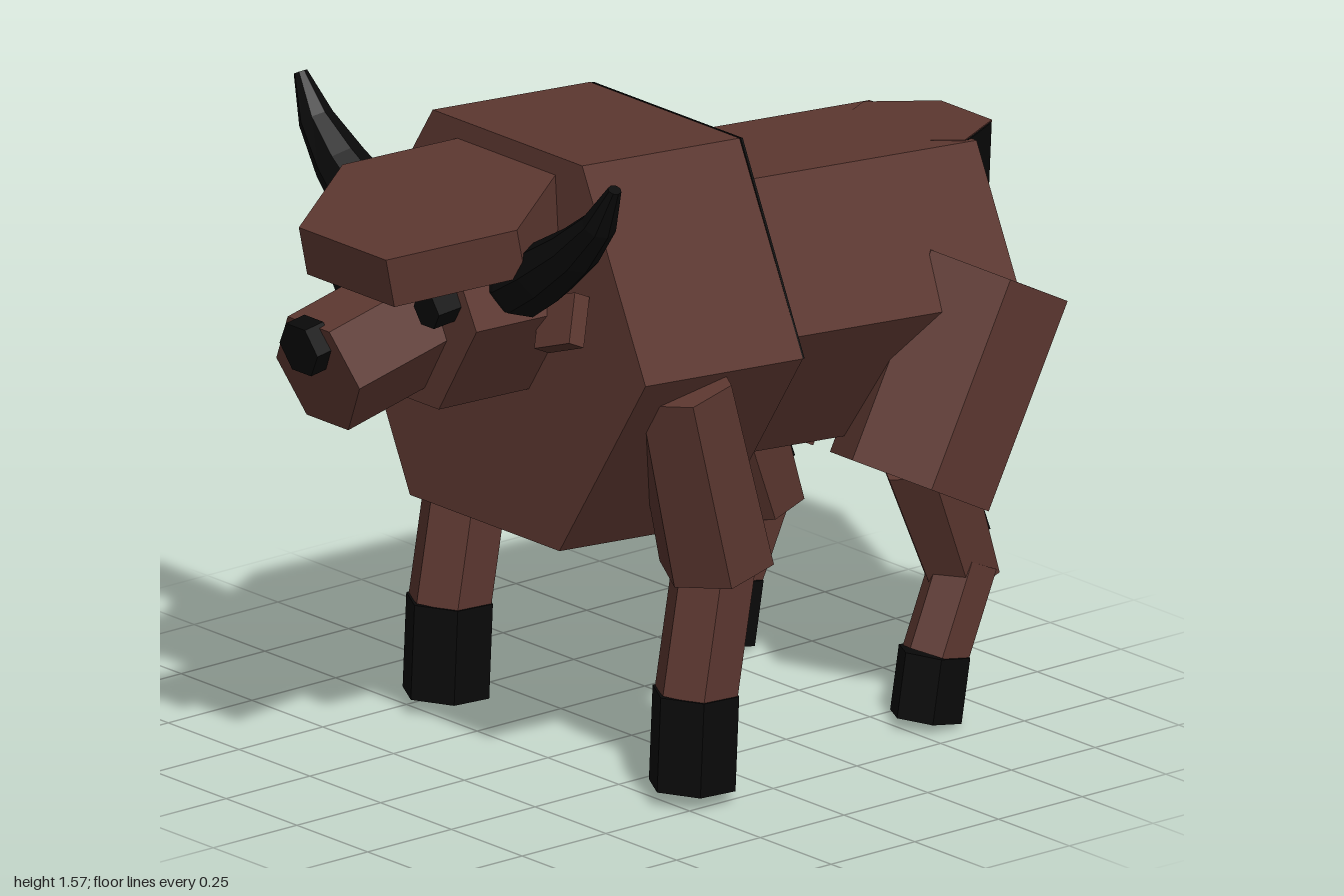
import * as THREE from 'three';

const hide = new THREE.MeshStandardMaterial({ color: 0x5c3730, flatShading: true });
hide.name = 'brown hide';
const black = new THREE.MeshStandardMaterial({ color: 0x090909, flatShading: true, side: THREE.DoubleSide });
black.name = 'black horn';

const UP = new THREE.Vector3(0, 1, 0);
const v = (p) => new THREE.Vector3(...p);

// Places a geometry whose axis is y so that it runs from point a to point b
function along(name, geometry, a, b, material) {
  const from = v(a), to = v(b);
  const mesh = new THREE.Mesh(geometry, material);
  mesh.name = name;
  mesh.position.copy(from).add(to).multiplyScalar(0.5);
  mesh.quaternion.setFromUnitVectors(UP, to.clone().sub(from).normalize());
  return mesh;
}

// Six-sided prism from a to b; wide = corners point to the sides
function prism(name, a, b, r, wide = false, material = hide, rTop = r, sx = 1) {
  const g = new THREE.CylinderGeometry(rTop, r, v(a).distanceTo(v(b)), 6);
  if (wide) g.rotateY(Math.PI / 6);
  g.scale(sx, 1, 1);
  return along(name, g, a, b, material);
}

// Thin black plate on one face of a prism, between fractions t0 and t1 of its axis
function patch(name, a, b, t0, t1, distance, degrees, width, offset = 0) {
  const p = v(a).lerp(v(b), t0), q = v(a).lerp(v(b), t1);
  const g = new THREE.BoxGeometry(width, p.distanceTo(q), 0.008);
  g.translate(offset, 0, distance);
  g.rotateY(THREE.MathUtils.degToRad(degrees));
  return along(name, g, p.toArray(), q.toArray(), black);
}

// Tapering curved horn built from rings of eight points
function hornGeometry(side) {
  const rings = [[0.18, 1.235, 0.06], [0.23, 1.25, 0.079], [0.31, 1.3, 0.073],
    [0.415, 1.378, 0.058], [0.5, 1.462, 0.039], [0.555, 1.56, 0.015]];
  const n = 8, pos = [], idx = [];
  rings.forEach(([x, y, r], i) => {
    const p = rings[Math.max(i - 1, 0)], q = rings[Math.min(i + 1, rings.length - 1)];
    const len = Math.hypot(q[0] - p[0], q[1] - p[1]);
    const nx = -(q[1] - p[1]) / len, ny = (q[0] - p[0]) / len;
    for (let k = 0; k < n; k++) {
      const t = (k / n) * Math.PI * 2;
      pos.push(side * (x + nx * r * Math.cos(t)), y + ny * r * Math.cos(t), 0.52 + r * 1.15 * Math.sin(t));
    }
  });
  for (let i = 0; i < rings.length - 1; i++) {
    for (let k = 0; k < n; k++) {
      const a = i * n + k, b = i * n + ((k + 1) % n);
      if (side > 0) idx.push(a, b, a + n, b, b + n, a + n);
      else idx.push(a, a + n, b, b, a + n, b + n);
    }
  }
  const last = (rings.length - 1) * n;
  for (let k = 1; k < n - 1; k++) {
    if (side > 0) idx.push(last, last + k, last + k + 1);
    else idx.push(last, last + k + 1, last + k);
  }
  const g = new THREE.BufferGeometry();
  g.setAttribute('position', new THREE.Float32BufferAttribute(pos, 3));
  g.setIndex(idx);
  g.computeVertexNormals();
  return g;
}

export function createModel() {
  const model = new THREE.Group();
  model.name = 'bull';

  // Trunk
  const tailBase = [0, 0.735, -0.815], tailTop = [0, 1.289, -0.844];
  model.add(
    prism('chest', [0, 1.02, -0.065], [0, 1.055, 0.405], 0.528, true),
    prism('hindBody', [0, 0.958, -0.845], [0, 1.02, -0.05], 0.378, true),
    prism('tail', tailBase, tailTop, 0.18, true)
  );

  // Black patches on the back of the chest and the side of the tail
  const sector = new THREE.CylinderGeometry(0.527, 0.527, 0.006, 2, 1, false, Math.PI / 2, Math.PI * 2 / 3);
  model.add(
    along('chestPatch', sector, [0, 1.0195, -0.071], [0, 1.02, -0.065], black),
    patch('tailPatchTop', tailBase, tailTop, 0.74, 0.995, 0.156, 120, 0.165, -0.005),
    patch('tailPatchMiddle', tailBase, tailTop, 0.49, 0.74, 0.156, 120, 0.11, -0.02),
    patch('tailPatchBottom', tailBase, tailTop, 0.01, 0.2, 0.156, 120, 0.09, 0.04)
  );

  // Head
  model.add(
    prism('head', [0, 1.163, 0.36], [0, 1.173, 0.675], 0.25, true),
    prism('muzzle', [0, 1.135, 0.64], [0, 1.067, 0.937], 0.147, true),
    prism('nose', [0, 1.145, 0.94], [0, 1.136, 0.995], 0.067, true, black),
    prism('forehead', [0, 1.3, 0.578], [0, 1.418, 0.603], 0.308, true),
    along('ear', new THREE.BoxGeometry(0.12, 0.12, 0.045), [0.3, 1.11, 0.47], [0.265, 1.2, 0.425], hide)
  );

  for (const s of [1, -1]) {
    const hornMesh = new THREE.Mesh(hornGeometry(s), black);
    hornMesh.name = s > 0 ? 'leftHorn' : 'rightHorn';
    model.add(hornMesh);
    model.add(prism('eye', [s * 0.15, 1.22, 0.66], [s * 0.15, 1.213, 0.74], 0.045, true, black));

    // Front leg
    const front = new THREE.Group();
    front.name = s > 0 ? 'leftFrontLeg' : 'rightFrontLeg';
    const elbow = [s * 0.44, 0.547, 0.118], shoulder = [s * 0.447, 1.005, 0.235];
    front.add(
      prism('shoulder', elbow, shoulder, 0.13, false, hide, 0.118, 1.13),
      patch('shoulderPatch', elbow, shoulder, 0.66, 0.9, 0.107, 152, 0.08),
      prism('foreShin', [s * 0.435, 0.24, 0.176], [s * 0.435, 0.6, 0.112], 0.1),
      prism('frontHoof', [s * 0.435, 0.025, 0.187], [s * 0.435, 0.25, 0.176], 0.105, false, black)
    );
    model.add(front);

    // Hind leg
    const hind = new THREE.Group();
    hind.name = s > 0 ? 'leftHindLeg' : 'rightHindLeg';
    const ankle = [s * 0.345, 0.318, -0.697], knee = [s * 0.345, 0.63, -0.583];
    hind.add(
      prism('thigh', [s * 0.31, 0.56, -0.567], [s * 0.31, 1.015, -0.803], 0.192, false, hide, 0.192, 1.08),
      prism('hock', ankle, knee, 0.092, false, hide, 0.112),
      patch('hockPatch', ankle, knee, 0.34, 0.66, 0.086, 150, 0.08),
      prism('hindShin', [s * 0.365, 0.15, -0.597], [s * 0.36, 0.36, -0.69], 0.08),
      prism('hindHoof', [s * 0.365, 0.008, -0.57], [s * 0.365, 0.16, -0.596], 0.087, false, black)
    );
    model.add(hind);
  }

  return model;
}
